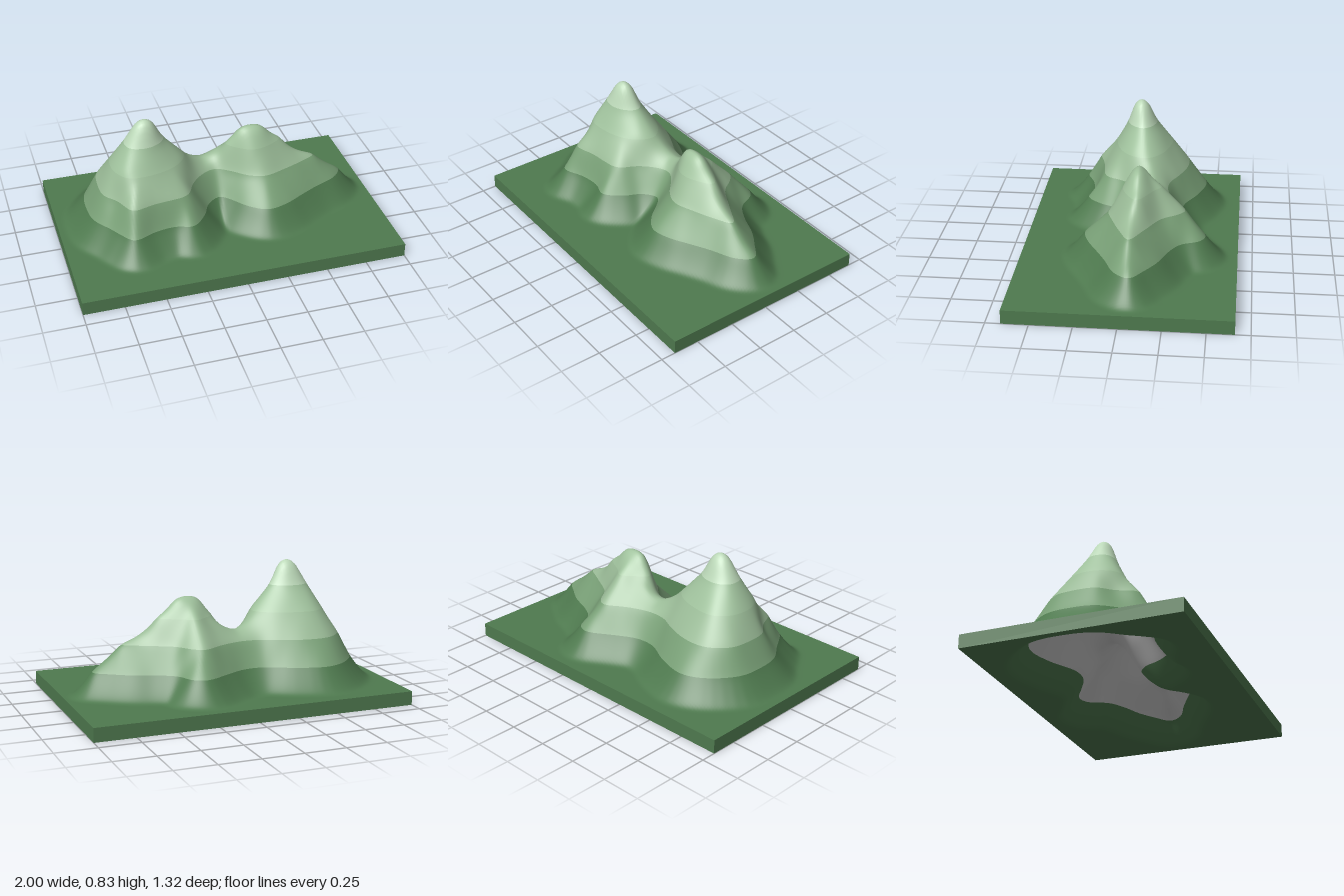
import * as THREE from 'three';

const BASE = 0.085, W = 2, D = 1.32, NX = 144, NZ = 96;

// Closed smooth contour through x, z pairs
function loop(...v) {
  const pts = [];
  for (let i = 0; i < v.length; i += 2) pts.push(new THREE.Vector3(v[i], 0, v[i + 1]));
  return new THREE.CatmullRomCurve3(pts, true, 'centripetal').getPoints(pts.length * 4);
}

function oval(cx, cz, rx, rz) {
  const v = [];
  for (let a = 0; a < 8; a++) v.push(cx + rx * Math.cos(a * Math.PI / 4), cz + rz * Math.sin(a * Math.PI / 4));
  return loop(...v);
}

const contour = (y, line, kids = []) => ({ y, line, kids });

// Tree of nested height contours, splitting into a tall and a low peak
function makeContours() {
  const tall = contour(0.53, loop(-0.65, -0.12, -0.56, -0.21, -0.4, -0.2, -0.27, -0.15, -0.2, -0.07,
    -0.22, 0.02, -0.3, 0.09, -0.45, 0.14, -0.6, 0.13, -0.66, 0.02), [
    contour(0.68, loop(-0.57, -0.06, -0.5, -0.11, -0.4, -0.1, -0.33, -0.04, -0.37, 0.03, -0.47, 0.07, -0.56, 0.04), [
      contour(0.8, oval(-0.45, -0.015, 0.06, 0.05))])]);
  const low = contour(0.53, loop(0.07, -0.08, 0.14, -0.14, 0.22, -0.2, 0.28, -0.15, 0.43, -0.06,
    0.34, 0.01, 0.22, 0.04, 0.13, -0.01), [
    contour(0.625, oval(0.23, -0.055, 0.09, 0.045))]);
  const shoulder = contour(0.38, loop(-0.74, -0.11, -0.72, -0.21, -0.61, -0.31, -0.45, -0.32, -0.29, -0.27,
    -0.18, -0.22, -0.05, -0.22, 0.09, -0.27, 0.22, -0.34, 0.29, -0.29, 0.35, -0.2, 0.51, -0.11, 0.65, -0.03,
    0.54, 0.03, 0.41, 0.08, 0.27, 0.12, 0.17, 0.08, 0.09, 0.01, 0, -0.04, -0.1, 0, -0.18, 0.08,
    -0.24, 0.19, -0.45, 0.23, -0.6, 0.26, -0.66, 0.13, -0.73, 0.05), [tall, low]);
  return contour(0.23, loop(-0.82, -0.05, -0.8, -0.22, -0.66, -0.39, -0.53, -0.44, -0.34, -0.39, -0.18, -0.31,
    -0.05, -0.31, 0.09, -0.38, 0.25, -0.465, 0.33, -0.43, 0.38, -0.32, 0.49, -0.25, 0.62, -0.2, 0.73, -0.13,
    0.83, -0.05, 0.77, 0.04, 0.62, 0.11, 0.49, 0.18, 0.38, 0.24, 0.25, 0.27, 0.14, 0.2, 0.06, 0.1, 0, 0.05,
    -0.09, 0.11, -0.14, 0.21, -0.24, 0.31, -0.34, 0.28, -0.48, 0.3, -0.61, 0.35, -0.67, 0.28, -0.72, 0.2,
    -0.8, 0.08), [shoulder]);
}

// Distance to a contour, positive inside
function signedDistance(line, x, z) {
  let best = Infinity, inside = false;
  for (let i = 0; i + 1 < line.length; i++) {
    const a = line[i], b = line[i + 1], dx = b.x - a.x, dz = b.z - a.z;
    const t = THREE.MathUtils.clamp(((x - a.x) * dx + (z - a.z) * dz) / (dx * dx + dz * dz || 1), 0, 1);
    best = Math.min(best, Math.hypot(x - a.x - t * dx, z - a.z - t * dz));
    if ((a.z > z) !== (b.z > z) && x < a.x + dx * (z - a.z) / dz) inside = !inside;
  }
  return inside ? best : -best;
}

function heightInside(node, d, x, z) {
  if (!node.kids.length) return node.y + Math.min(0.035, d * 0.8);
  let next = null, nd = -Infinity;
  for (const k of node.kids) {
    const kd = signedDistance(k.line, x, z);
    if (kd > nd) { nd = kd; next = k; }
  }
  if (nd > 0) return heightInside(next, nd, x, z);
  return node.y + (next.y - node.y) * d / (d - nd || 1);
}

// Grid of heights, softened by a few averaging passes
function makeHeights() {
  const root = makeContours();
  let h = [];
  for (let j = 0; j <= NZ; j++) {
    h.push([]);
    for (let i = 0; i <= NX; i++) {
      const x = (i / NX - 0.5) * W, z = (j / NZ - 0.5) * D;
      const d = signedDistance(root.line, x, z);
      h[j].push(d > 0 ? heightInside(root, d, x, z)
        : BASE + (root.y - BASE) * Math.pow(Math.max(0, 1 + d / 0.13), 1.3));
    }
  }
  for (let pass = 0; pass < 3; pass++) {
    h = h.map((row, j) => row.map((c, i) => {
      if (!i || !j || i === NX || j === NZ) return c;
      return c * 0.4 + (h[j - 1][i] + h[j + 1][i] + row[i - 1] + row[i + 1]) * 0.15;
    }));
  }
  return h;
}

// Keeps the part of a polygon above (sign 1) or below (sign -1) a level
function clip(poly, level, sign) {
  const out = [];
  poly.forEach((a, i) => {
    const b = poly[(i + 1) % poly.length];
    const da = sign * (a[1] - level), db = sign * (b[1] - level);
    if (da >= 0) out.push(a);
    if ((da > 0 && db < 0) || (da < 0 && db > 0)) out.push(a.map((v, k) => v + (b[k] - v) * da / (da - db)));
  });
  return out;
}

// Slice of the terrain between two levels; the underside is the same skin lowered by the slab thickness
function terrainBand(h, lo, hi, underside) {
  const pos = [], nor = [];
  const vertex = (i, j) => {
    const i0 = Math.max(i - 1, 0), i1 = Math.min(i + 1, NX), j0 = Math.max(j - 1, 0), j1 = Math.min(j + 1, NZ);
    const n = new THREE.Vector3(-(h[j][i1] - h[j][i0]) / ((i1 - i0) * W / NX), 1,
      -(h[j1][i] - h[j0][i]) / ((j1 - j0) * D / NZ)).normalize();
    return [(i / NX - 0.5) * W, h[j][i], (j / NZ - 0.5) * D, n.x, n.y, n.z];
  };
  const add = (tri) => {
    const p = clip(clip(tri, lo, 1), hi, -1);
    for (let k = 1; k + 1 < p.length; k++) {
      for (const v of underside ? [p[0], p[k + 1], p[k]] : [p[0], p[k], p[k + 1]]) {
        const s = underside ? -1 : 1;
        pos.push(v[0], underside ? Math.max(0, v[1] - BASE) : v[1], v[2]);
        nor.push(s * v[3], s * v[4], s * v[5]);
      }
    }
  };
  for (let j = 0; j < NZ; j++) for (let i = 0; i < NX; i++) {
    const a = vertex(i, j), b = vertex(i, j + 1), c = vertex(i + 1, j + 1), d = vertex(i + 1, j);
    add([a, b, c]);
    add([a, c, d]);
  }
  const g = new THREE.BufferGeometry();
  g.setAttribute('position', new THREE.Float32BufferAttribute(pos, 3));
  g.setAttribute('normal', new THREE.Float32BufferAttribute(nor, 3));
  return g;
}

export function createModel() {
  const model = new THREE.Group();
  model.name = 'mountainReliefMap';
  const h = makeHeights();
  const paint = (color) => new THREE.MeshStandardMaterial({ color });
  const green = paint(0x4f7a4f);
  const put = (name, geometry, material) => {
    const m = new THREE.Mesh(geometry, material);
    m.name = name;
    model.add(m);
    return m;
  };

  // Coloured elevation bands
  const bands = [['lowland', 0, 0.23, green], ['foothills', 0.23, 0.38, paint(0x789f76)],
    ['slopes', 0.38, 0.53, paint(0x9abb97)], ['upperSlopes', 0.53, 0.68, paint(0xa0c29d)],
    ['summit', 0.68, 2, paint(0xbcd9b9)]];
  for (const [name, lo, hi, mat] of bands) put(name, terrainBand(h, lo, hi, false), mat);

  // Hollow underside
  put('undersideBase', terrainBand(h, 0, 0.23, true), green);
  put('undersideHollow', terrainBand(h, 0.23, 2, true), paint(0xcccccc));

  // Slab edges
  for (let k = 0; k < 4; k++) {
    const [len, off] = k % 2 ? [D, W / 2] : [W, D / 2];
    const edge = put('slabEdge', new THREE.PlaneGeometry(len, BASE), green);
    edge.rotation.y = k * Math.PI / 2;
    edge.position.set(Math.sin(k * Math.PI / 2) * off, BASE / 2, Math.cos(k * Math.PI / 2) * off);
  }
  return model;
}
